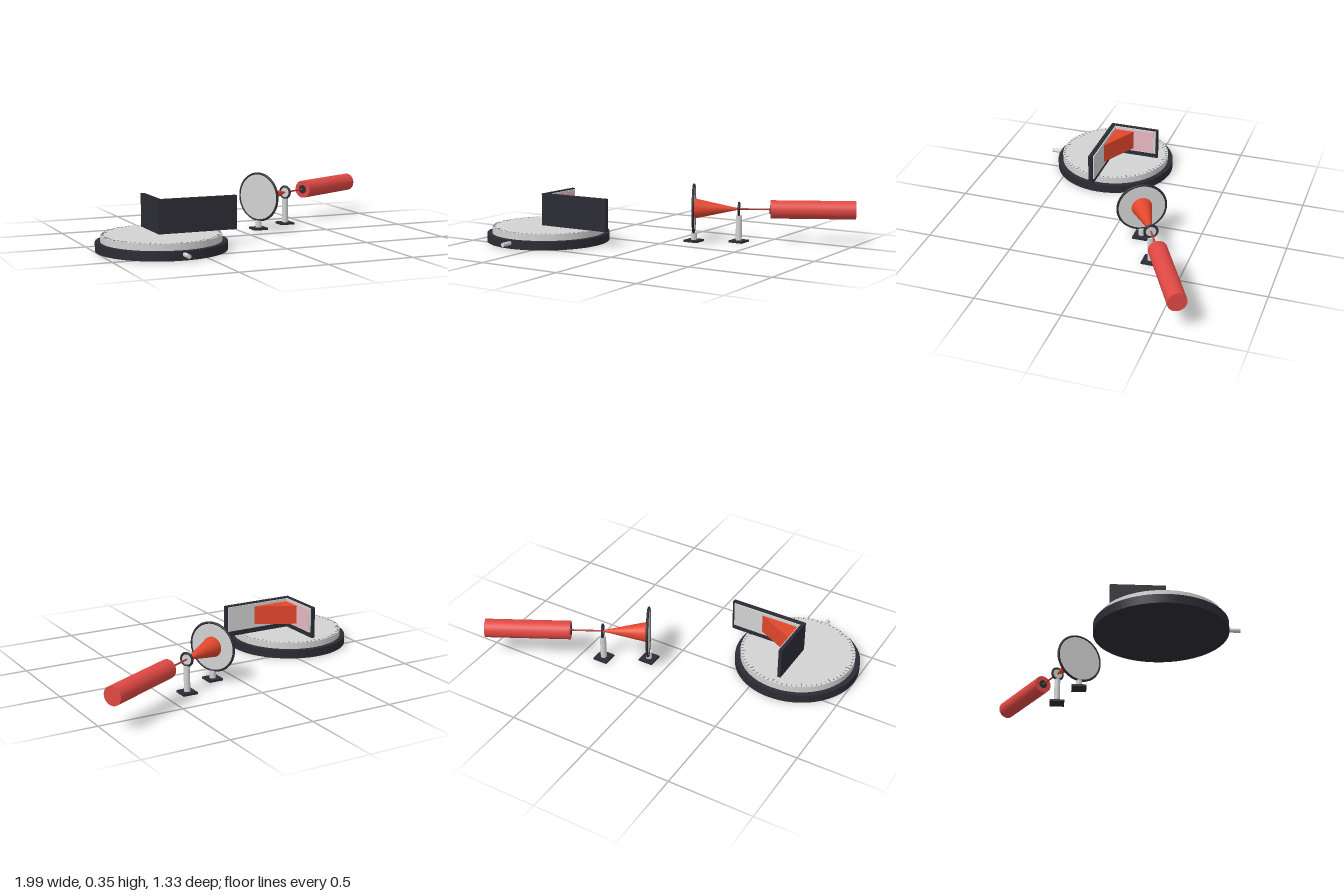
import * as THREE from 'three';

const mat = (name, color, side = THREE.FrontSide) => {
  const m = new THREE.MeshStandardMaterial({ color, side });
  m.name = name;
  return m;
};

export function createModel() {
  const dark = mat('dark metal', 0x2b2b34);
  const light = mat('light metal', 0xd2d2d2);
  const red = mat('laser red', 0xe04844);
  const orange = mat('beam orange', 0xe2462c);
  const beamRed = mat('thin beam red', 0xb53a38);
  const pink = mat('pink mirror', 0xe8b8c0);
  const tickGrey = mat('tick grey', 0x55555c);

  const root = new THREE.Group();
  root.name = 'opticsBench';

  const add = (parent, name, geo, material, x = 0, y = 0, z = 0) => {
    const mesh = new THREE.Mesh(geo, material);
    mesh.name = name;
    mesh.position.set(x, y, z);
    parent.add(mesh);
    return mesh;
  };
  // box given by its lower and upper corners
  const span = (parent, name, material, a, b) => add(parent, name,
    new THREE.BoxGeometry(b[0] - a[0], b[1] - a[1], b[2] - a[2]), material,
    (a[0] + b[0]) / 2, (a[1] + b[1]) / 2, (a[2] + b[2]) / 2);
  // cylinder lying along z, rTop at the +z end
  const rod = (rTop, rBottom, length, sides = 48) =>
    new THREE.CylinderGeometry(rTop, rBottom, length, sides).rotateX(Math.PI / 2);

  // Rotating stage
  const stage = new THREE.Group();
  stage.name = 'stage';
  stage.position.set(-0.637, 0, 0.237);
  root.add(stage);
  add(stage, 'stageBase', new THREE.CylinderGeometry(0.364, 0.364, 0.05, 72), dark, 0, 0.025, 0);
  add(stage, 'stagePlate', new THREE.CylinderGeometry(0.334, 0.334, 0.038, 72), light, 0, 0.069, 0);
  add(stage, 'stageKnob', rod(0.012, 0.012, 0.08, 24), light, 0, 0.032, 0.388);

  // Angle scale around the plate
  for (let i = 0; i < 72; i++) {
    const length = i % 6 === 0 ? 0.026 : 0.014;
    const tick = new THREE.BoxGeometry(0.003, 0.002, length);
    tick.translate(0, 0, 0.33 - length / 2).rotateY(i * Math.PI / 36);
    add(stage, 'scaleTick', tick, tickGrey, 0, 0.0885, 0);
  }

  // Two mirrors at a right angle
  const mirrors = new THREE.Group();
  mirrors.name = 'cornerMirrors';
  root.add(mirrors);
  span(mirrors, 'frontHolder', dark, [-0.662, 0.088, 0.242], [-0.2, 0.28, 0.267]);
  span(mirrors, 'sideHolder', dark, [-0.662, 0.088, -0.038], [-0.642, 0.28, 0.242]);
  span(mirrors, 'frontMirror', light, [-0.642, 0.12, 0.235], [-0.215, 0.274, 0.242]);
  span(mirrors, 'sideMirror', light, [-0.642, 0.12, -0.026], [-0.634, 0.274, 0.235]);
  span(mirrors, 'sideMirrorFace', pink, [-0.634, 0.127, -0.012], [-0.631, 0.266, 0.235]);

  // Wedge of light between the mirrors
  const wedge = new THREE.Shape([
    new THREE.Vector2(-0.631, -0.235),
    new THREE.Vector2(-0.4, -0.235),
    new THREE.Vector2(-0.631, -0.115),
  ]);
  add(mirrors, 'reflectedBeam', new THREE.ExtrudeGeometry(wedge, { depth: 0.115, bevelEnabled: false })
    .rotateX(-Math.PI / 2), orange, 0, 0.141, 0);

  // Laser line: local z runs from the lens to the laser
  const line = new THREE.Group();
  line.name = 'laserLine';
  line.position.set(0.13, 0.198, -0.173);
  line.rotation.y = Math.atan2(0.44, -0.234);
  root.add(line);
  add(line, 'lens', rod(0.14, 0.14, 0.008, 64), light);
  add(line, 'lensRing', new THREE.TorusGeometry(0.141, 0.007, 12, 64), dark);
  add(line, 'spreadBeam', rod(0.004, 0.06, 0.262), orange, 0, 0, 0.135);
  add(line, 'pinholeDisc', rod(0.035, 0.035, 0.006, 40), light, 0, 0, 0.266);
  add(line, 'pinholeRing', new THREE.TorusGeometry(0.036, 0.007, 12, 40), dark, 0, 0, 0.266);
  add(line, 'thinBeam', rod(0.005, 0.005, 0.19, 16), beamRed, 0, 0, 0.359);
  add(line, 'laserBody', rod(0.054, 0.054, 0.498, 56), red, 0, 0, 0.7);
  add(line, 'laserAperture', rod(0.026, 0.026, 0.006, 32), dark, 0, 0, 0.45);

  // Posts and feet
  for (const [name, x, z, top] of [['lens', 0.13, -0.173, 0.055], ['pinhole', 0.365, -0.298, 0.16]]) {
    add(root, name + 'Foot', new THREE.BoxGeometry(0.088, 0.012, 0.088), dark, x, 0.006, z);
    add(root, name + 'Post', new THREE.CylinderGeometry(0.018, 0.018, top - 0.01, 28), light, x, (top + 0.01) / 2, z);
  }

  return root;
}
